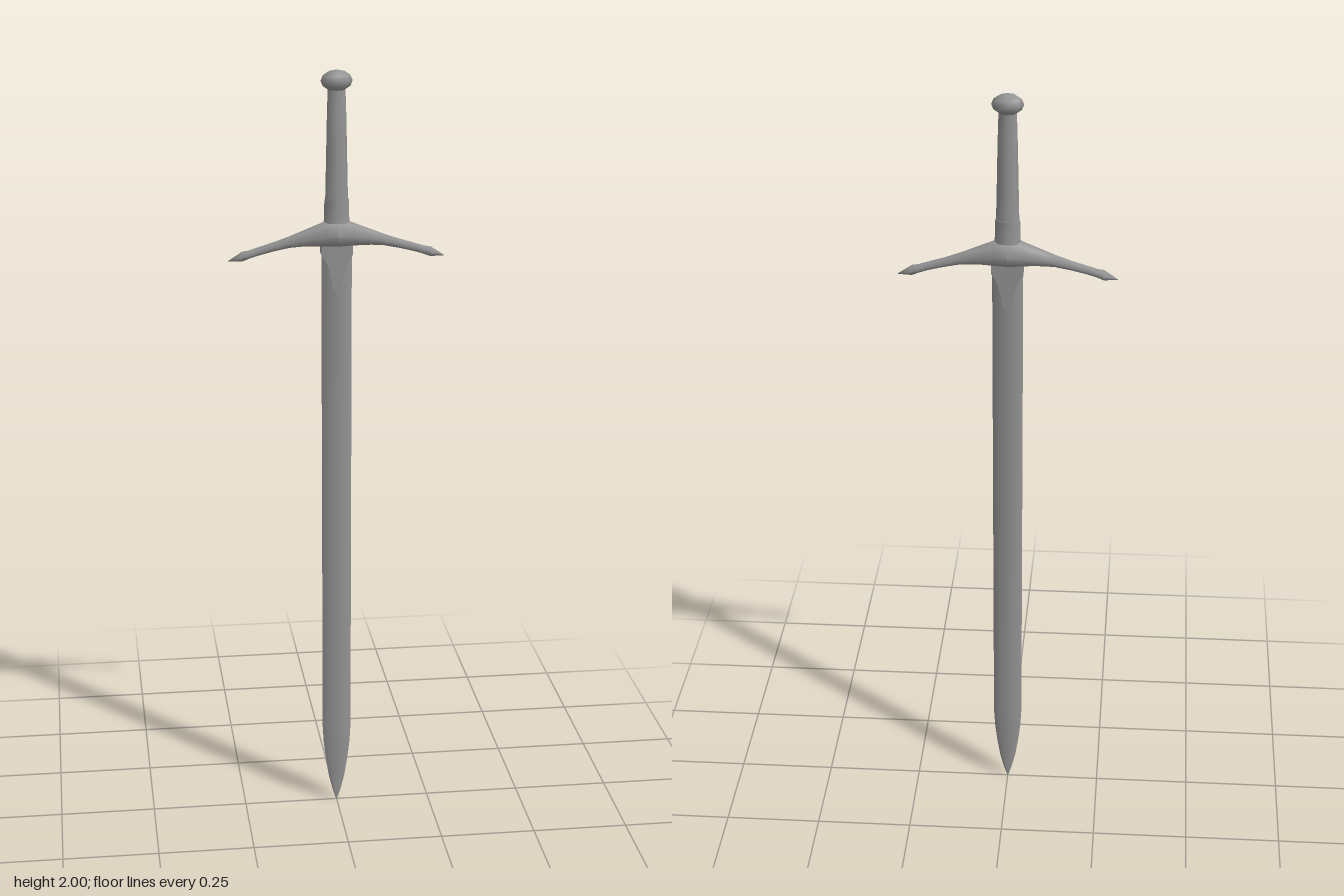
import * as THREE from 'three';
import { mergeVertices, toCreasedNormals } from 'three/addons/utils/BufferGeometryUtils.js';

const material = new THREE.MeshStandardMaterial({ color: 0x949494 });

// Skin a surface over rings of [x, y, z] points and close both ends with fans
function loft(name, rings, crease) {
  const n = rings[0].length, last = rings.length - 1;
  const pos = rings.flat(2), index = [];
  const mean = ring => [0, 1, 2].map(k => ring.reduce((s, p) => s + p[k], 0) / n);
  const a = rings.length * n, b = a + 1;
  pos.push(...mean(rings[0]), ...mean(rings[last]));
  for (let j = 0; j < n; j++) {
    const k = (j + 1) % n;
    for (let i = 0; i < last; i++) {
      const p = i * n, q = p + n;
      index.push(p + j, p + k, q + k, p + j, q + k, q + j);
    }
    index.push(a, k, j, b, last * n + j, last * n + k);
  }
  let geo = new THREE.BufferGeometry();
  geo.setAttribute('position', new THREE.Float32BufferAttribute(pos, 3));
  geo.setIndex(index);
  geo = toCreasedNormals(mergeVertices(geo, 1e-5), crease);
  const mesh = new THREE.Mesh(geo, material);
  mesh.name = name;
  return mesh;
}

// Eight-sided oval ring around the y axis
const ovalY = ([y, rx, rz]) => Array.from({ length: 8 }, (_, i) => {
  const t = i * Math.PI / 4;
  return [rx * Math.sin(t), y, rz * Math.cos(t)];
});

// Eight-sided ring around the x axis, pinched to a ridge at front and back
const guardRing = ([x, cy, ry, rz]) => [
  [1, 0], [0.82, 0.52], [0, 1], [-0.82, 0.52], [-1, 0], [-0.82, -0.52], [0, -1], [0.82, -0.52],
].map(([u, v]) => [x, cy + ry * u, rz * v]);

// Six-sided blade ring: sharp edges and a flat middle
const bladeRing = ([y, w, t]) => {
  const f = w * 0.55;
  return [[-f, y, t], [f, y, t], [w, y, 0], [f, y, -t], [-f, y, -t], [-w, y, 0]];
};

export function createModel() {
  const sword = new THREE.Group();
  sword.name = 'sword';

  // Blade, tapering to the point at the bottom
  const blade = [
    [0, 0.001, 0.001], [0.03, 0.011, 0.003], [0.07, 0.021, 0.005], [0.12, 0.029, 0.007],
    [0.17, 0.035, 0.01], [0.22, 0.038, 0.012], [1.57, 0.039, 0.013],
  ];
  sword.add(loft('blade', blade.map(bladeRing), 0.95));

  // Crossguard: half profile [x, centre y, half height, half depth], mirrored
  const half = [
    [0, 1.587, 0.035, 0.044], [0.03, 1.586, 0.033, 0.038], [0.06, 1.581, 0.026, 0.031],
    [0.09, 1.575, 0.02, 0.024], [0.12, 1.568, 0.015, 0.018], [0.16, 1.557, 0.012, 0.014],
    [0.2, 1.546, 0.011, 0.0125], [0.225, 1.538, 0.011, 0.013], [0.24, 1.534, 0.013, 0.016],
    [0.275, 1.523, 0.001, 0.001],
  ];
  const mirrored = half.slice(1).reverse().map(([x, ...rest]) => [-x, ...rest]);
  sword.add(loft('crossguard', [...mirrored, ...half].map(guardRing), 1.3));

  // Langet: pointed sleeve gripping the top of the blade, thinner towards its tip
  const outline = new THREE.Shape();
  outline.moveTo(-0.04, 1.57);
  outline.lineTo(-0.04, 1.535);
  outline.quadraticCurveTo(-0.02, 1.51, -0.012, 1.45);
  outline.lineTo(0, 1.43);
  outline.lineTo(0.012, 1.45);
  outline.quadraticCurveTo(0.02, 1.51, 0.04, 1.535);
  outline.lineTo(0.04, 1.57);
  const langetGeo = new THREE.ExtrudeGeometry(outline, { depth: 2, bevelEnabled: false, curveSegments: 6 });
  langetGeo.translate(0, 0, -1);
  const pos = langetGeo.attributes.position;
  for (let i = 0; i < pos.count; i++) {
    pos.setZ(i, pos.getZ(i) * (0.0145 + 0.025 * (pos.getY(i) - 1.43)));
  }
  langetGeo.computeVertexNormals();
  const langet = new THREE.Mesh(langetGeo, material);
  langet.name = 'langet';
  sword.add(langet);

  // Grip with a wider collar at its foot and a narrow neck
  const grip = [
    [1.67, 0.029, 0.018], [1.76, 0.027, 0.019], [1.86, 0.025, 0.017], [1.9, 0.024, 0.014], [1.96, 0.022, 0.013],
  ];
  sword.add(loft('grip', grip.map(ovalY), 1.1));
  const collar = [[1.6, 0.034, 0.024], [1.63, 0.032, 0.021], [1.675, 0.031, 0.02]];
  sword.add(loft('collar', collar.map(ovalY), 1.1));

  // Pommel: flattened rounded knob
  const pommel = [];
  for (let i = 0; i <= 6; i++) {
    const t = Math.PI * (i / 6);
    const s = Math.max(Math.sin(t), 0.02);
    pommel.push([1.973 - 0.027 * Math.cos(t), 0.04 * s, 0.027 * s]);
  }
  sword.add(loft('pommel', pommel.map(ovalY), 1.3));

  return sword;
}
